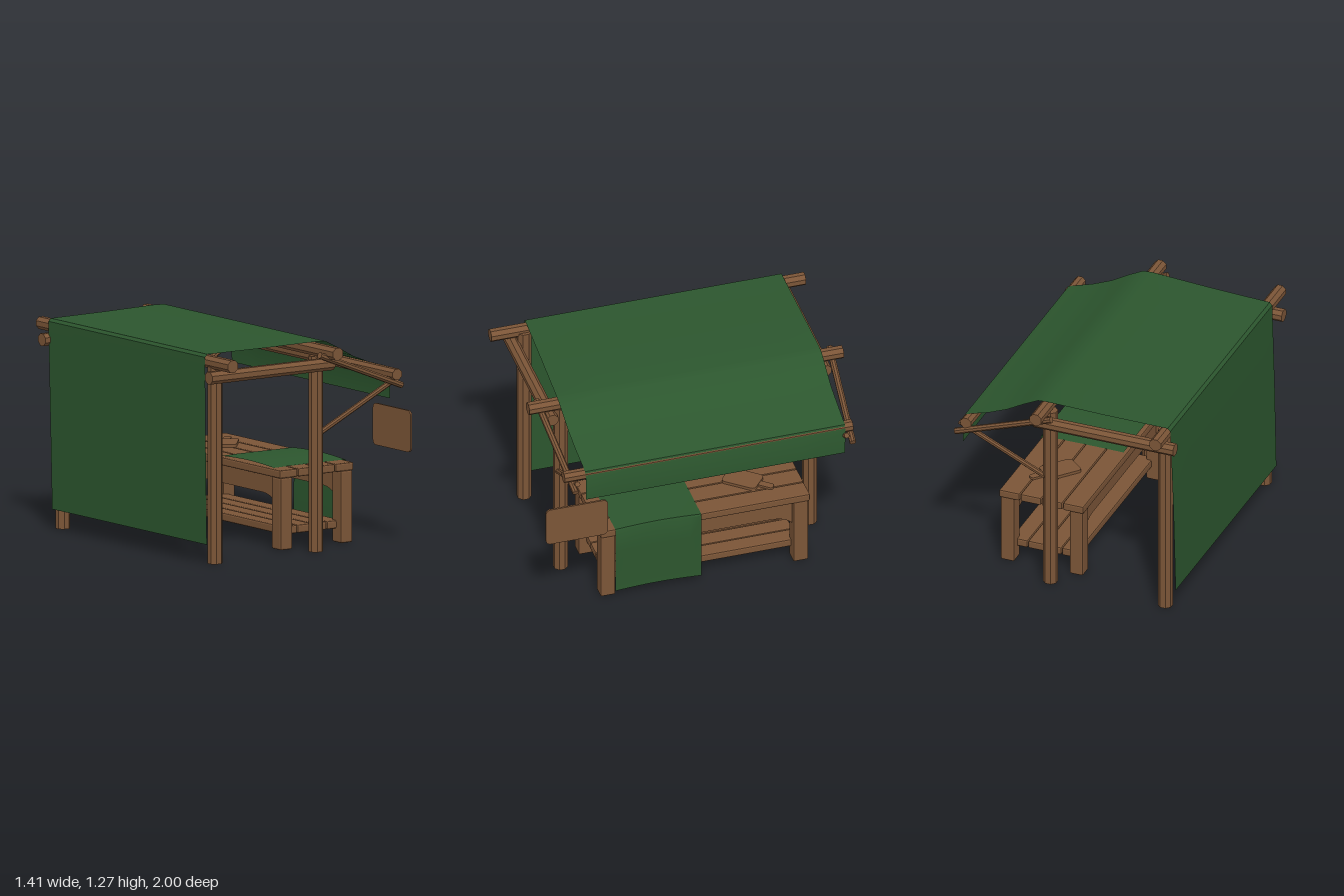
import * as THREE from 'three';
import { toCreasedNormals } from 'three/addons/utils/BufferGeometryUtils.js';
import { RoundedBoxGeometry } from 'three/addons/geometries/RoundedBoxGeometry.js';

const wood = new THREE.MeshStandardMaterial({ color: 0x7b5537 });
wood.name = 'wood';
const cloth = new THREE.MeshStandardMaterial({ color: 0x2c562e, side: THREE.DoubleSide });
cloth.name = 'green cloth';

function add(parent, name, geometry, material = wood) {
  const mesh = new THREE.Mesh(geometry, material);
  mesh.name = name;
  parent.add(mesh);
  return mesh;
}

// Eight-sided log between two points
function log(parent, name, a, b, radius) {
  const from = new THREE.Vector3(...a), to = new THREE.Vector3(...b);
  const g = new THREE.CylinderGeometry(radius, radius, from.distanceTo(to), 8).rotateY(Math.PI / 8);
  const mesh = add(parent, name, toCreasedNormals(g, 0.3));
  mesh.position.copy(from).add(to).multiplyScalar(0.5);
  mesh.quaternion.setFromUnitVectors(new THREE.Vector3(0, 1, 0), to.sub(from).normalize());
}

// Chamfered board given by its ranges in x, y and z
function board(parent, name, x, y, z, bevel = 0.01) {
  const g = new RoundedBoxGeometry(x[1] - x[0], y[1] - y[0], z[1] - z[0], 1, bevel);
  g.computeVertexNormals();
  const mesh = add(parent, name, g);
  mesh.position.set((x[0] + x[1]) / 2, (y[0] + y[1]) / 2, (z[0] + z[1]) / 2);
}

// Cloth swept across z: each row is [x, y, zBack, zFront]; lift(row, t) raises points
function sheet(parent, name, rows, columns, lift = () => 0) {
  const g = new THREE.PlaneGeometry(1, 1, columns, rows.length - 1);
  const p = g.attributes.position;
  for (let r = 0, i = 0; r < rows.length; r++) {
    const [x, y, z0, z1] = rows[r];
    for (let c = 0; c <= columns; c++, i++) {
      const t = c / columns;
      p.setXYZ(i, x, y + lift(r, t), z1 + (z0 - z1) * t);
    }
  }
  // Reverse the winding so the faces look outward
  const index = g.index.array;
  for (let i = 0; i < index.length; i += 3) [index[i], index[i + 1]] = [index[i + 1], index[i]];
  add(parent, name, toCreasedNormals(g, 0.6), cloth);
}

// Flat plate with rounded corners, centred on the origin in the XY plane
function roundedRect(w, h, r) {
  const s = new THREE.Shape();
  s.absarc(w / 2 - r, h / 2 - r, r, 0, Math.PI / 2);
  s.absarc(-w / 2 + r, h / 2 - r, r, Math.PI / 2, Math.PI);
  s.absarc(-w / 2 + r, -h / 2 + r, r, Math.PI, Math.PI * 1.5);
  s.absarc(w / 2 - r, -h / 2 + r, r, Math.PI * 1.5, Math.PI * 2);
  return s;
}
const plate = (shape, depth) => new THREE.ExtrudeGeometry(shape, { depth, bevelEnabled: false, curveSegments: 4 });

function buildFrame() {
  const frame = new THREE.Group();
  frame.name = 'frame';
  const ends = [
    { post: 0.75, beam: 0.82, rafter: [0.88, 0.83], strut: [0.77, 0.815] },
    { post: -0.8, beam: -0.88, rafter: [-0.945, -0.895], strut: [-0.81, -0.86] },
  ];
  for (const { post, beam, rafter, strut } of ends) {
    log(frame, 'backPost', [-0.614, 0, post], [-0.614, 1.215, post], 0.045);
    log(frame, 'frontPost', [0.125, 0, post], [0.125, 1.18, post], 0.045);
    log(frame, 'crossBeam', [-0.71, 1.135, beam], [0.193, 1.135, beam], 0.04);
    log(frame, 'awningRafter', [0.06, 1.205, rafter[0]], [0.697, 0.958, rafter[1]], 0.02);
    log(frame, 'awningStrut', [0.14, 0.715, strut[0]], [0.688, 1.01, strut[1]], 0.017);
  }
  log(frame, 'backRidgeLog', [-0.63, 1.215, -1], [-0.63, 1.215, 0.957], 0.04);
  log(frame, 'frontRidgeLog', [0.14, 1.215, -1], [0.14, 1.215, 0.957], 0.04);
  log(frame, 'awningLog', [0.626, 1.035, -0.91], [0.626, 1.035, 0.885], 0.036);
  return frame;
}

function buildTable() {
  const table = new THREE.Group();
  table.name = 'table';
  // Four planks on top and four on the shelf
  for (let i = 0; i < 4; i++) {
    const x = -0.04 + i * 0.1367, s = 0.018 + i * 0.1085;
    board(table, 'topPlank', [x, x + 0.132], [0.433, 0.483], [-0.69, 0.615]);
    board(table, 'shelfPlank', [s, s + 0.105], [0.083, 0.133], [-0.63, 0.565]);
  }
  for (const x of [-0.033, 0.409])
    for (const z of [-0.68, 0.52])
      board(table, 'leg', [x, x + 0.087], [0, 0.436], [z, z + 0.093]);

  // Long aprons with curved brackets where they meet the legs
  const s = new THREE.Shape();
  s.moveTo(-0.56, 0.436);
  s.lineTo(-0.56, 0.27);
  s.quadraticCurveTo(-0.51, 0.322, -0.43, 0.322);
  s.lineTo(0.43, 0.322);
  s.quadraticCurveTo(0.51, 0.322, 0.56, 0.27);
  s.lineTo(0.56, 0.436);
  for (const x of [-0.01, 0.43]) {
    const apron = add(table, 'apron', plate(s, 0.04).rotateY(Math.PI / 2));
    apron.position.set(x, 0, -0.03);
  }

  // Cutting board with a short handle
  const cutter = new THREE.Group();
  cutter.name = 'cuttingBoard';
  add(cutter, 'cuttingBoardBody', plate(roundedRect(0.22, 0.15, 0.025), 0.018).rotateX(-Math.PI / 2));
  const handle = add(cutter, 'cuttingBoardHandle', plate(roundedRect(0.11, 0.045, 0.015), 0.014).rotateX(-Math.PI / 2));
  handle.position.x = 0.145;
  cutter.position.set(0.25, 0.483, -0.345);
  cutter.rotation.y = 0.87;
  table.add(cutter);

  // Cloth lying over the top and hanging down the outer side
  const rows = [[-0.02, 0.486], [0.12, 0.487], [0.25, 0.487], [0.38, 0.486], [0.505, 0.486],
    [0.511, 0.478], [0.512, 0.33], [0.51, 0.18], [0.511, 0.037]].map(([x, y]) => [x, y, -0.01, 0.525]);
  sheet(table, 'tableCloth', rows, 8, (r, t) => (r < 5 || r === 8 ? 0.011 : 0.004) * Math.sin(Math.PI * t));
  return table;
}

export function createModel() {
  const model = new THREE.Group();
  model.name = 'marketStall';
  model.add(buildFrame(), buildTable());

  // Canopy: back wall, roof, sagging awning and hanging lip
  sheet(model, 'canopy', [
    [-0.684, 0.12, -0.81, 0.765], [-0.68, 0.7, -0.835, 0.748], [-0.672, 1.245, -0.865, 0.73],
    [-0.655, 1.262, -0.865, 0.732], [-0.25, 1.264, -0.865, 0.755], [0.12, 1.27, -0.862, 0.778],
    [0.18, 1.265, -0.86, 0.78], [0.27, 1.22, -0.858, 0.777], [0.38, 1.158, -0.857, 0.772],
    [0.5, 1.11, -0.86, 0.765], [0.61, 1.078, -0.86, 0.76], [0.65, 1.065, -0.86, 0.758],
    [0.664, 1.03, -0.86, 0.756], [0.666, 0.87, -0.855, 0.755],
  ], 6);

  // Blank sign board under the awning
  const sign = add(model, 'signBoard', plate(roundedRect(0.385, 0.252, 0.03), 0.012).rotateY(Math.PI / 2));
  sign.position.set(0.64, 0.703, 0.808);
  return model;
}
